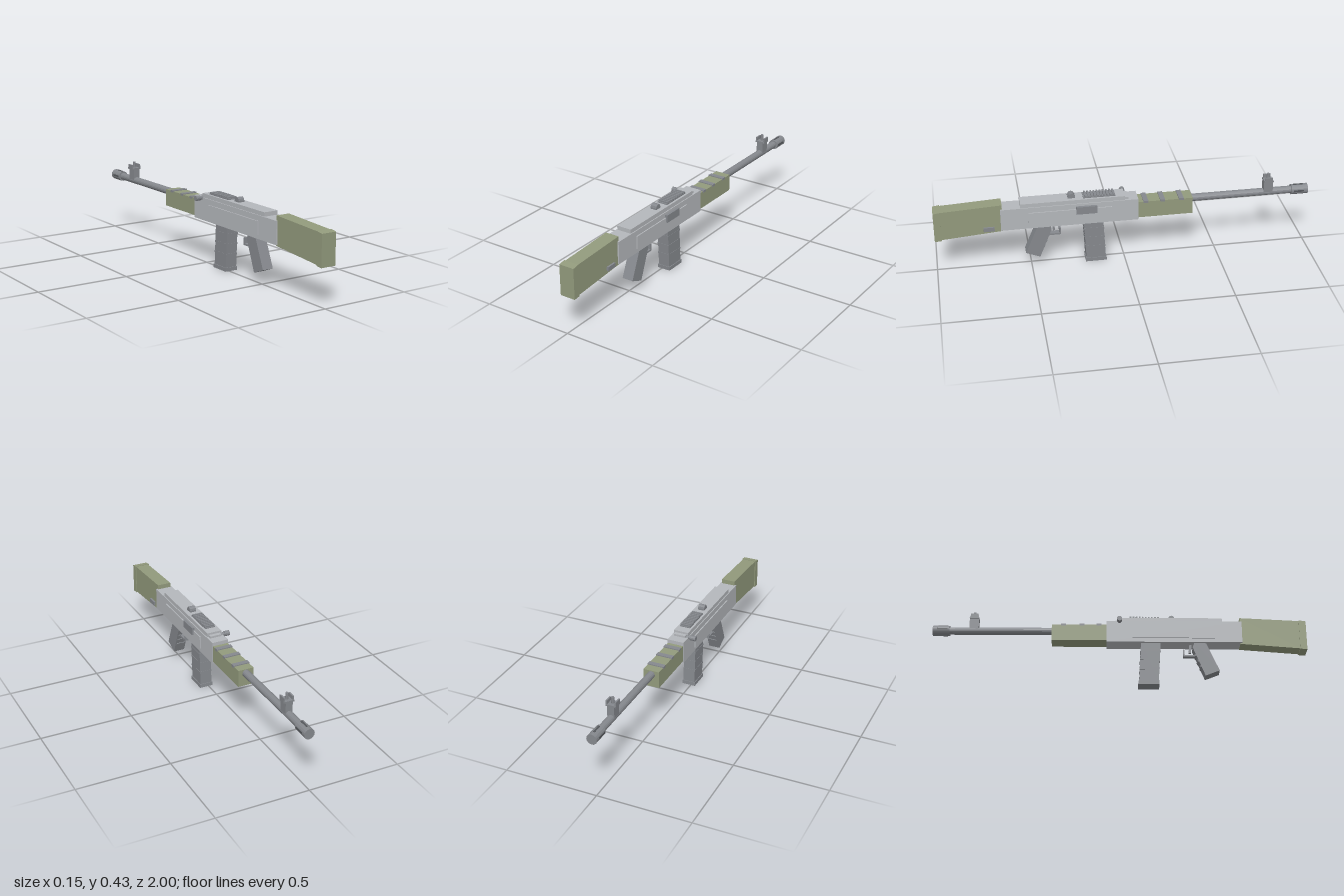
import * as THREE from 'three';

const CX = 0.013; // centre plane of the body
const mat = (color) => new THREE.MeshStandardMaterial({ color, flatShading: true });

export function createModel() {
  const root = new THREE.Group();
  const steel = mat(0xb4b7bb), dark = mat(0x85888d), olive = mat(0x929a7c), black = mat(0x55585c);

  const add = (name, geo, m, x = CX, y = 0, z = 0) => {
    const mesh = new THREE.Mesh(geo, m);
    mesh.name = name;
    mesh.position.set(x, y, z);
    root.add(mesh);
    return mesh;
  };
  // Box given by half width about the centre plane and y / z ranges
  const block = (name, m, half, y0, y1, z0, z1, x = CX) =>
    add(name, new THREE.BoxGeometry(half * 2, y1 - y0, z1 - z0), m, x, (y0 + y1) / 2, (z0 + z1) / 2);
  // Side profile of [z, y] points, extruded across the width
  const prism = (name, m, half, pts) => {
    const shape = new THREE.Shape(pts.map(([z, y]) => new THREE.Vector2(-z, y)));
    const geo = new THREE.ExtrudeGeometry(shape, { depth: half * 2, bevelEnabled: false });
    geo.translate(0, 0, -half).rotateY(Math.PI / 2);
    return add(name, geo, m);
  };
  // Cylinder along z
  const rod = (name, m, r, z0, z1, y) =>
    add(name, new THREE.CylinderGeometry(r, r, z1 - z0, 16).rotateX(Math.PI / 2), m, CX, y, (z0 + z1) / 2);

  // Receiver and stepped top cover
  block('receiver', steel, 0.046, 0.24, 0.362, -0.07, 0.655);
  block('topCover', steel, 0.041, 0.355, 0.384, 0, 0.55);
  block('coverStep', steel, 0.033, 0.355, 0.373, -0.02, 0.01);
  block('sidePanels', steel, 0.052, 0.262, 0.333, 0.07, 0.51);
  block('ejectionPort', dark, 0.012, 0.307, 0.349, 0.15, 0.26, 0.061);

  // Charging handle on the right side
  for (const [name, r, x0, x1] of [['chargingShank', 0.01, -0.05, -0.02], ['chargingKnob', 0.014, -0.073, -0.045]])
    add(name, new THREE.CylinderGeometry(r, r, x1 - x0, 12).rotateZ(Math.PI / 2), dark, (x0 + x1) / 2, 0.36, 0);

  // Ribbed top rail
  block('railBase', dark, 0.029, 0.38, 0.389, 0.05, 0.22);
  for (let i = 0; i < 10; i++) {
    const z = 0.055 + i * 0.0165;
    block('railRib', dark, 0.029, 0.386, 0.397, z, z + 0.009);
  }

  // Rear sight
  block('rearSightBase', dark, 0.018, 0.38, 0.393, 0.26, 0.3);
  add('rearSightDrum', new THREE.CylinderGeometry(0.017, 0.017, 0.036, 12).rotateZ(Math.PI / 2), dark, CX, 0.393, 0.28);

  // Stock, butt plate and sling mount
  prism('stock', olive, 0.038, [[0.645, 0.234], [0.97, 0.209], [0.97, 0.371], [0.645, 0.387]]);
  prism('buttPlate', olive, 0.042, [[0.963, 0.206], [1, 0.203], [1, 0.368], [0.963, 0.374]]);
  block('slingMount', dark, 0.008, 0.241, 0.264, 0.688, 0.745, 0.053);

  // Handguard with grey bands
  block('handguard', olive, 0.043, 0.25, 0.342, -0.362, -0.07);
  for (const z of [-0.3, -0.2, -0.11]) block('handguardBand', dark, 0.045, 0.335, 0.347, z - 0.013, z + 0.013);

  // Barrel and muzzle brake with slots all round
  rod('barrel', dark, 0.02, -0.95, -0.35, 0.32);
  rod('muzzleBrake', dark, 0.028, -1, -0.91, 0.32);
  for (let i = 0; i < 4; i++) {
    const a = i * Math.PI / 2;
    const slot = add('brakeSlot', new THREE.BoxGeometry(0.01, 0.004, 0.055), black,
      CX + Math.sin(a) * 0.027, 0.32 + Math.cos(a) * 0.027, -0.948);
    slot.rotation.z = -a;
  }

  // Front sight: tower, two ears and a central pin
  block('frontSightTower', dark, 0.019, 0.32, 0.39, -0.805, -0.755);
  block('frontSightBridge', dark, 0.027, 0.385, 0.394, -0.805, -0.755);
  for (const s of [-1, 1]) block('frontSightEar', dark, 0.004, 0.385, 0.413, -0.8, -0.76, CX + s * 0.024);
  add('frontSightPin', new THREE.CylinderGeometry(0.008, 0.008, 0.045, 10), dark, CX, 0.4055, -0.78);

  // Magazine leaning forward, with bands and a floor plate
  const magZ = (y) => 0.155 + (y - 0.005) * 0.05;
  const magSlice = (name, half, depth, y0, y1) => prism(name, dark, half, [
    [magZ(y0) - depth, y0], [magZ(y0) + depth, y0], [magZ(y1) + depth, y1], [magZ(y1) - depth, y1]]);
  magSlice('magazine', 0.033, 0.052, 0.012, 0.25);
  for (const y of [0.09, 0.145, 0.2]) magSlice('magazineBand', 0.0345, 0.0535, y - 0.005, y + 0.005);
  magSlice('magazineFloor', 0.037, 0.056, 0, 0.02);

  // Raked pistol grip with finger ridges
  prism('grip', dark, 0.031, [[0.39, 0.215], [0.455, 0.052], [0.53, 0.082], [0.463, 0.24], [0.4, 0.245]]);
  for (const t of [0.25, 0.45, 0.65]) {
    const ridge = add('gripRidge', new THREE.BoxGeometry(0.05, 0.012, 0.008), dark,
      CX, 0.215 - 0.163 * t, 0.39 + 0.065 * t);
    ridge.rotation.x = -0.38;
  }

  // Trigger and guard
  block('triggerGuard', dark, 0.015, 0.17, 0.179, 0.34, 0.412);
  block('guardFront', dark, 0.015, 0.17, 0.21, 0.34, 0.348);
  const trigger = block('trigger', dark, 0.007, 0.193, 0.245, 0.372, 0.384);
  trigger.rotation.x = 0.1;

  return root;
}
